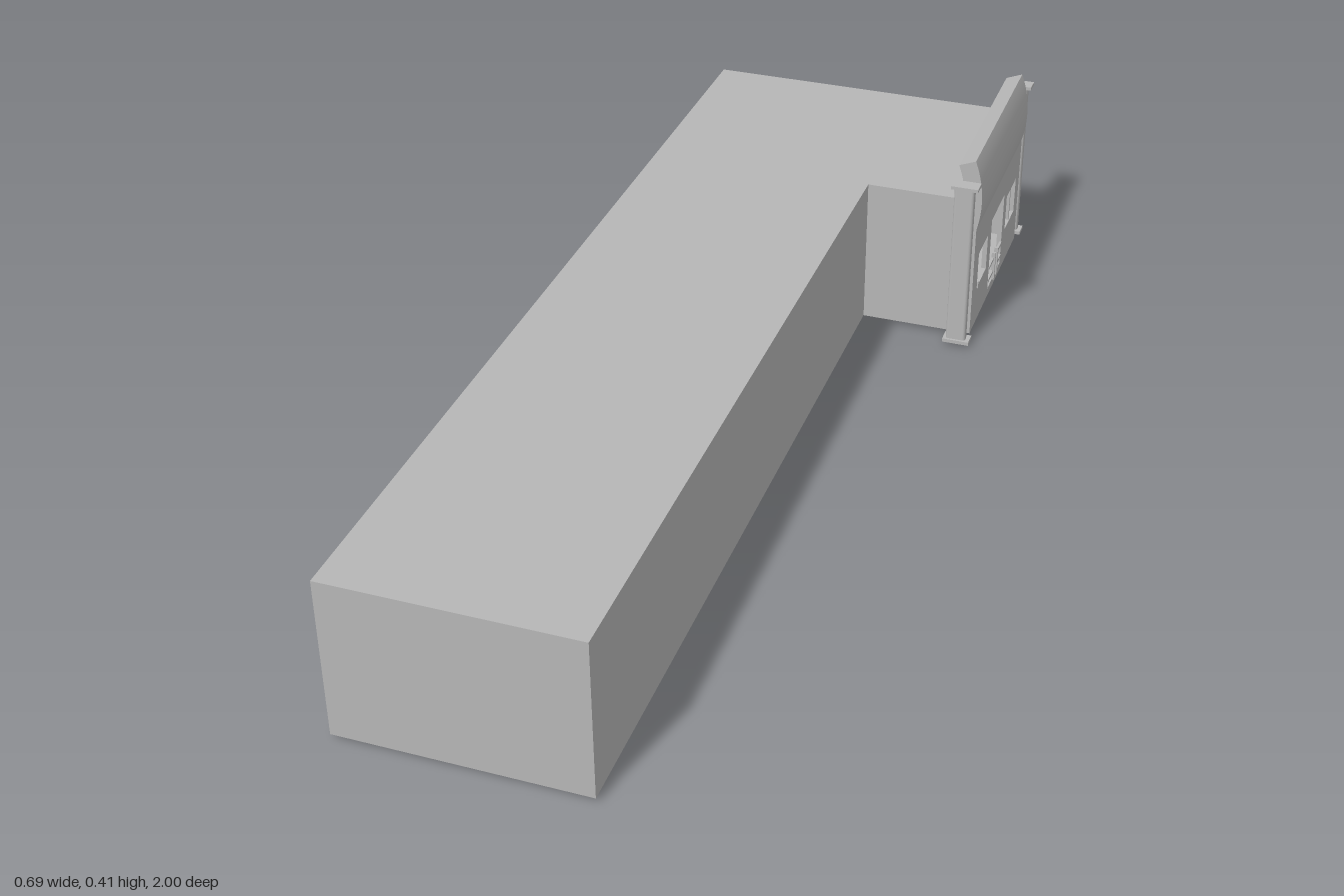
import * as THREE from 'three';

export function createModel() {
  const model = new THREE.Group();
  const grey = new THREE.MeshStandardMaterial({ color: 0xb6b6b6 });
  grey.name = 'plain grey';

  function add(name, geometry, parent = model) {
    const mesh = new THREE.Mesh(geometry, grey);
    mesh.name = name;
    parent.add(mesh);
    return mesh;
  }
  // Box given by its limits on each axis
  function slab(name, x0, x1, y0, y1, z0, z1, parent = model) {
    const g = new THREE.BoxGeometry(x1 - x0, y1 - y0, z1 - z0);
    g.translate((x0 + x1) / 2, (y0 + y1) / 2, (z0 + z1) / 2);
    return add(name, g, parent);
  }
  function rect(path, u0, u1, v0, v1) {
    path.moveTo(u0, v0);
    path.lineTo(u1, v0);
    path.lineTo(u1, v1);
    path.lineTo(u0, v1);
    path.closePath();
    return path;
  }

  const L = -0.347, R = 0.338, B = 0.008, T = 0.318;
  const back = -0.95, join = -0.52, t = 0.005;

  // Long hall
  slab('hall', L, 0.11, B, T, join, 1);

  // Hollow entrance wing
  const wing = new THREE.Group();
  wing.name = 'entranceWing';
  model.add(wing);
  slab('wingFloor', L, R, B, B + t, back, join, wing);
  slab('wingRoof', L, R, T - t, T, back, join, wing);
  slab('wingBackWall', L, R, B, T, back, back + t, wing);
  slab('wingSideWall', L, L + t, B, T, back, join, wing);
  slab('wingFrontWall', 0.105, R, B, T, join - t, join, wing);

  // Entrance wall with two windows and a doorway; u runs along -z
  const wall = rect(new THREE.Shape(), -join, -back, B, T);
  for (const [u0, u1, v0, v1] of [
    [0.564, 0.647, 0.094, 0.174],
    [0.679, 0.797, 0.027, 0.193],
    [0.826, 0.915, 0.094, 0.174],
  ]) wall.holes.push(rect(new THREE.Path(), u0, u1, v0, v1));
  const wallGeo = new THREE.ExtrudeGeometry(wall, { depth: 0.01, bevelEnabled: false });
  wallGeo.rotateY(Math.PI / 2).translate(R - 0.01, 0, 0);
  add('entranceWall', wallGeo, wing);

  // Window fittings
  slab('windowMullion', 0.33, 0.336, 0.094, 0.174, -0.877, -0.871, wing);
  slab('windowLatch', 0.331, 0.34, 0.09, 0.105, -0.576, -0.568, wing);

  // Doorway gates: an upright and two rails on each side
  const gates = new THREE.Group();
  gates.name = 'doorwayGates';
  model.add(gates);
  for (const s of [-1, 1]) {
    const mid = -0.738;
    const inner = mid + s * 0.012, outer = mid + s * 0.059;
    slab('gateUpright', 0.334, 0.342, 0.025, 0.09, inner - 0.003, inner + 0.003, gates);
    for (const y of [0.045, 0.076]) {
      slab('gateRail', 0.334, 0.339, y - 0.003, y + 0.003,
        Math.min(inner, outer), Math.max(inner, outer), gates);
    }
  }

  // Curved sign panel above the entrance: a thick arc swept along z
  const cx = 0.096, cy = 0.315, a = 0.375;
  const arc = new THREE.Shape();
  arc.absarc(cx, cy, 0.25, -a, a, false);
  arc.absarc(cx, cy, 0.214, a, -a, true);
  arc.closePath();
  const panel = new THREE.ExtrudeGeometry(arc, {
    depth: 0.43, bevelEnabled: false, curveSegments: 24,
  });
  panel.translate(0, 0, back + 0.002);
  add('curvedPanel', panel);

  // Free-standing columns with rounded corners, base and cap plates
  const hw = 0.0205, hd = 0.01, r = 0.006;
  const section = new THREE.Shape();
  section.absarc(hw - r, hd - r, r, 0, Math.PI / 2);
  section.absarc(r - hw, hd - r, r, Math.PI / 2, Math.PI);
  section.absarc(r - hw, r - hd, r, Math.PI, Math.PI * 1.5);
  section.absarc(hw - r, r - hd, r, Math.PI * 1.5, Math.PI * 2);
  section.closePath();
  const shaft = new THREE.ExtrudeGeometry(section, {
    depth: 0.35, bevelEnabled: false, curveSegments: 6,
  });
  shaft.rotateX(-Math.PI / 2);
  for (const z of [-0.985, -0.488]) {
    const column = new THREE.Group();
    column.name = 'column';
    model.add(column);
    add('columnShaft', shaft, column).position.set(0.317, 0.012, z);
    slab('columnBase', 0.291, 0.346, 0.0065, 0.014, z - 0.015, z + 0.015, column);
    slab('columnCap', 0.291, 0.346, 0.361, 0.368, z - 0.015, z + 0.015, column);
  }

  // Inner doors between hall and wing, reaching just below the floor
  for (const x of [-0.33, -0.03]) {
    slab('innerDoor', x, x + 0.12, 0, 0.2, join - 0.007, join + 0.003);
  }
  return model;
}
